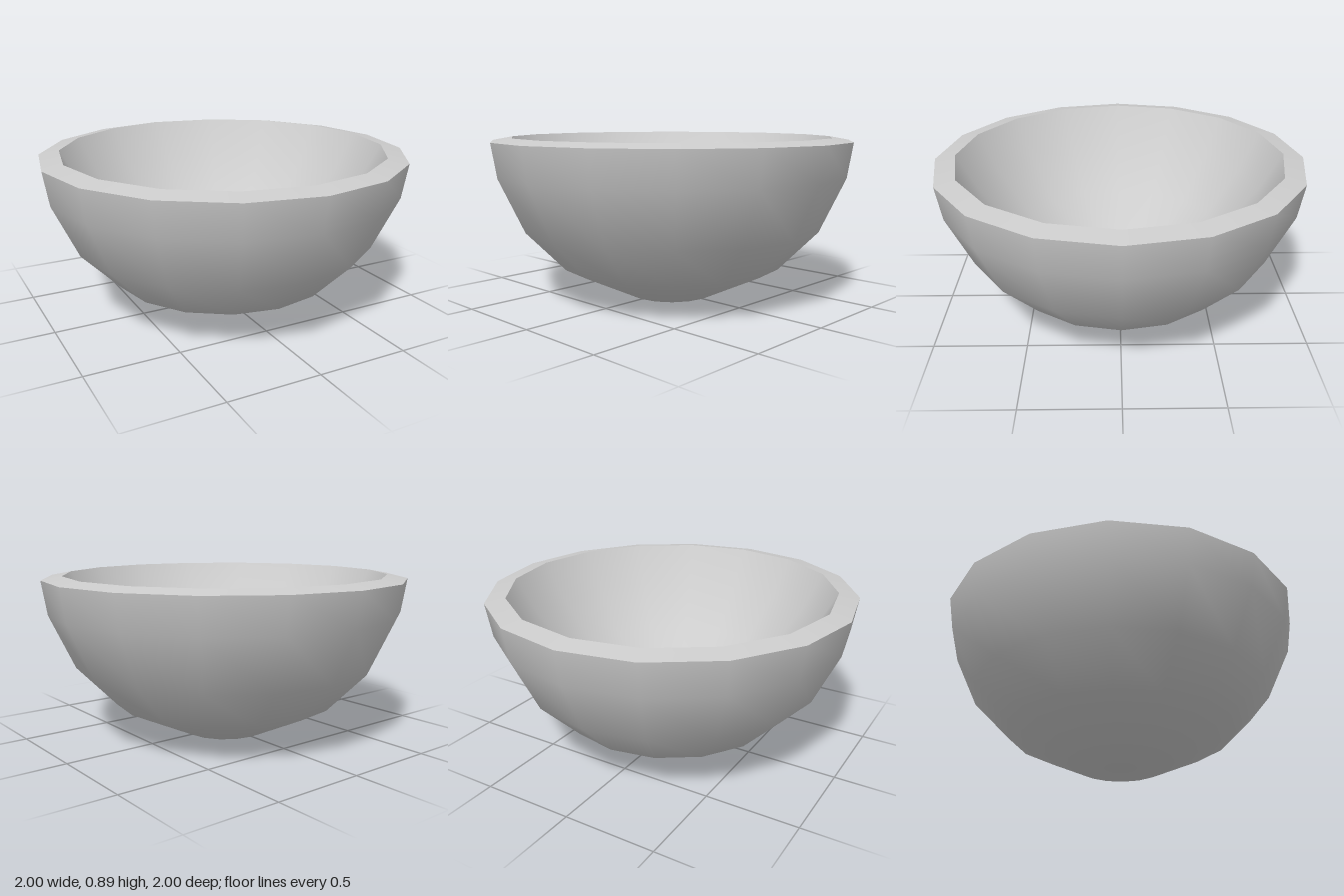
import * as THREE from 'three';

const SIDES = 16;

export function createModel() {
  const group = new THREE.Group();
  group.name = 'bowl';
  const grey = new THREE.MeshStandardMaterial({ color: 0xcccccc });
  grey.name = 'light grey';

  // Revolves a [radius, height] profile; separate rings keep the lip edges hard
  const addRing = (name, profile) => {
    const points = profile.map(([r, y]) => new THREE.Vector2(r, y));
    const mesh = new THREE.Mesh(new THREE.LatheGeometry(points, SIDES), grey);
    mesh.name = name;
    group.add(mesh);
  };

  // Outside: flat foot, then the rounded wall up to the lip
  addRing('outerWall', [
    [0, 0], [0.24, 0], [0.62, 0.18], [0.835, 0.40], [0.97, 0.69], [1, 0.875],
  ]);

  // Lip: rises slightly towards the inside
  addRing('rim', [[1, 0.875], [0.89, 0.895]]);

  // Inside: gently curved hollow from the lip down to the centre
  addRing('innerWall', [
    [0.89, 0.895], [0.77, 0.68], [0.57, 0.43], [0.3, 0.22], [0, 0.11],
  ]);

  return group;
}
